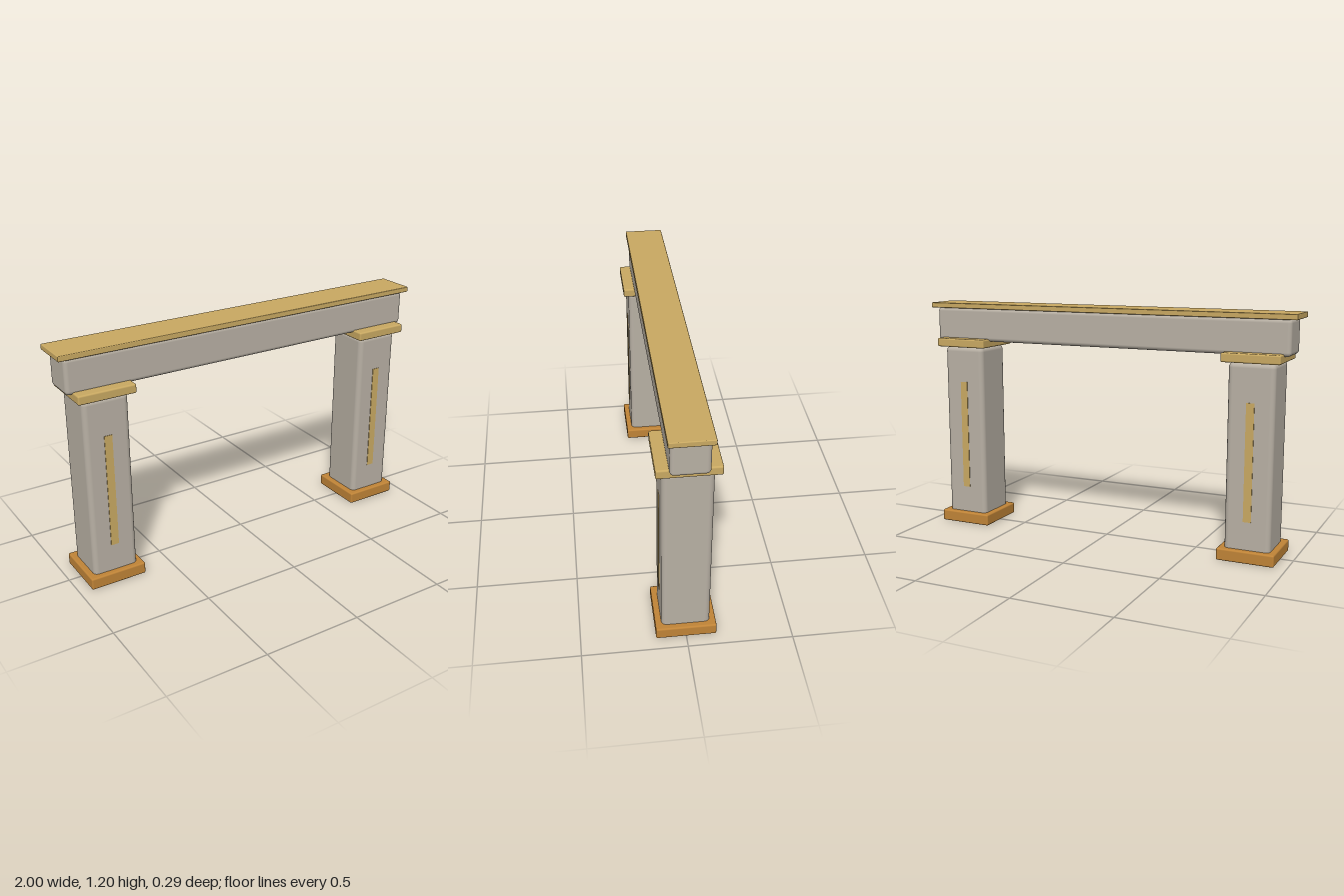
import * as THREE from 'three';
import { RoundedBoxGeometry } from 'three/addons/geometries/RoundedBoxGeometry.js';

export function createModel() {
  const model = new THREE.Group();
  model.name = 'gateway';

  const material = (name, color) => {
    const m = new THREE.MeshStandardMaterial({ color });
    m.name = name;
    return m;
  };
  const stone = material('warm grey stone', 0xb8b0a4);
  const gold = material('pale gold', 0xc9a962);
  const bronze = material('bronze', 0xc08437);

  // Rounded block centred on x and z, standing between two heights
  const block = (parent, name, mat, width, bottom, top, depth, radius) => {
    const geometry = new RoundedBoxGeometry(width, top - bottom, depth, 3, radius);
    const mesh = new THREE.Mesh(geometry, mat);
    mesh.name = name;
    mesh.position.y = (bottom + top) / 2;
    parent.add(mesh);
  };

  // Pillars, each with a base, a capital and inlays front and back
  for (const side of [-1, 1]) {
    const pillar = new THREE.Group();
    pillar.name = side > 0 ? 'leftPillar' : 'rightPillar';
    pillar.position.x = side * 0.795;
    block(pillar, 'base', bronze, 0.288, 0, 0.06, 0.288, 0.008);
    block(pillar, 'shaft', stone, 0.23, 0.005, 0.969, 0.23, 0.025);
    block(pillar, 'capital', gold, 0.288, 0.969, 1.014, 0.288, 0.008);
    for (const face of [-1, 1]) {
      const inlay = new THREE.Mesh(new THREE.BoxGeometry(0.04, 0.58, 0.008), gold);
      inlay.name = face > 0 ? 'frontInlay' : 'backInlay';
      inlay.position.set(0, 0.49, face * 0.114);
      pillar.add(inlay);
    }
    model.add(pillar);
  }

  // Beam across the pillars and its overhanging cornice
  block(model, 'beam', stone, 1.94, 1.0, 1.176, 0.175, 0.02);
  block(model, 'cornice', gold, 2.0, 1.173, 1.2, 0.2, 0.004);

  return model;
}
